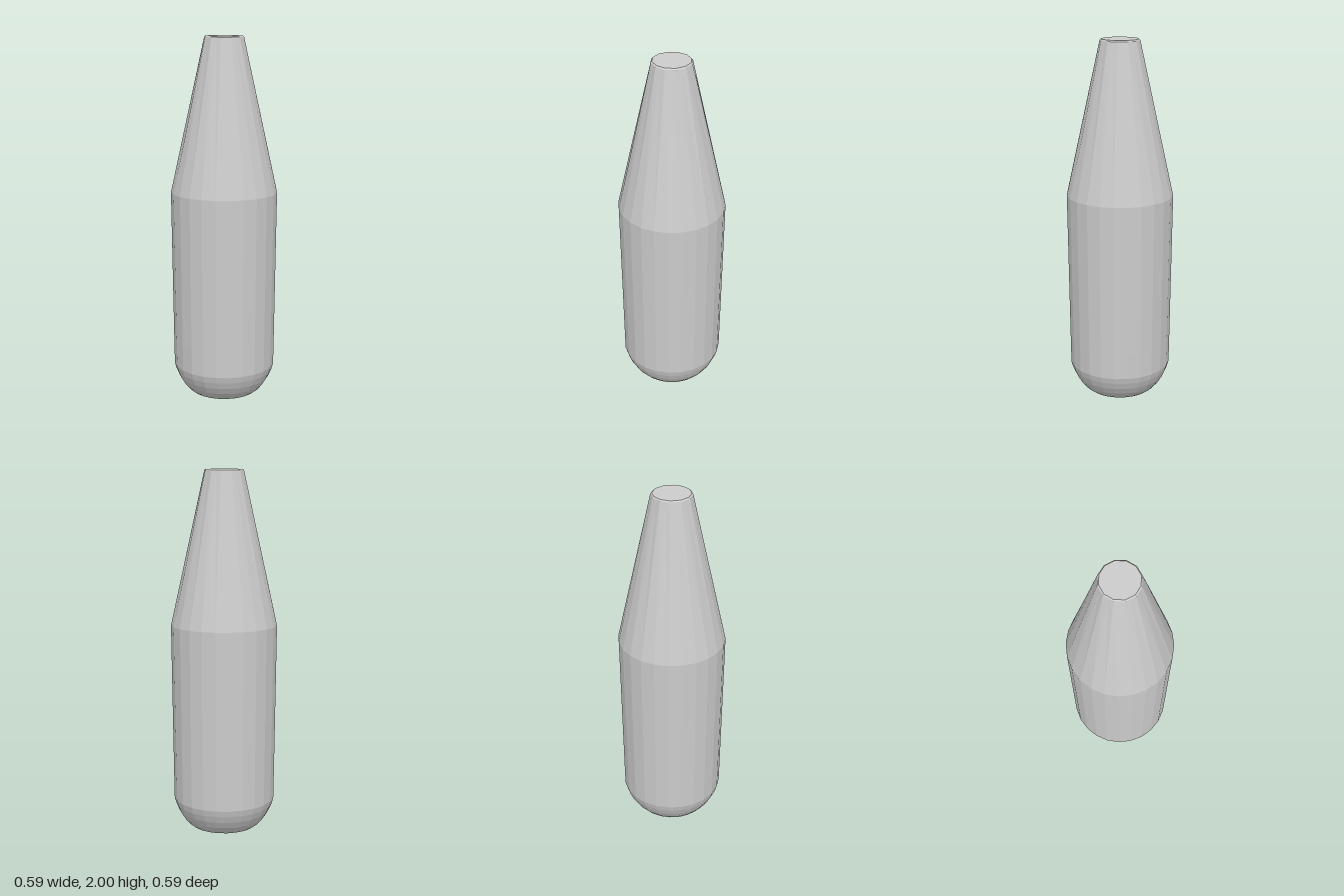
import * as THREE from 'three';

const SIDES = 24;
const material = new THREE.MeshStandardMaterial({ color: 0xcccccc, flatShading: true });

function lathe(name, profile) {
  const points = profile.map(([r, y]) => new THREE.Vector2(r, y));
  const mesh = new THREE.Mesh(new THREE.LatheGeometry(points, SIDES), material);
  mesh.name = name;
  return mesh;
}

export function createModel() {
  const group = new THREE.Group();
  group.name = 'bottle';

  // Flat foot, rounded base and slightly flared straight wall
  const body = lathe('body', [
    [0, 0], [0.185, 0], [0.205, 0.015], [0.232, 0.047], [0.256, 0.086],
    [0.273, 0.125], [0.283, 0.16], [0.285, 0.3], [0.295, 1.15],
  ]);

  // Tapered neck with a narrow bevel and a flat closed top
  const neck = lathe('neck', [[0.295, 1.15], [0.109, 1.993], [0.102, 2], [0, 2]]);

  // The 24-sided shoulder narrows to a 12-sided mouth:
  // every other top corner is pulled in to the middle of its neighbours' edge
  const pos = neck.geometry.attributes.position;
  const pull = Math.cos((2 * Math.PI) / SIDES);
  for (let i = 0; i <= SIDES; i += 2) {
    for (let j = 1; j <= 2; j++) {
      const k = i * 4 + j;
      pos.setX(k, pos.getX(k) * pull);
      pos.setZ(k, pos.getZ(k) * pull);
    }
  }
  neck.geometry.computeVertexNormals();

  group.add(body, neck);
  return group;
}
